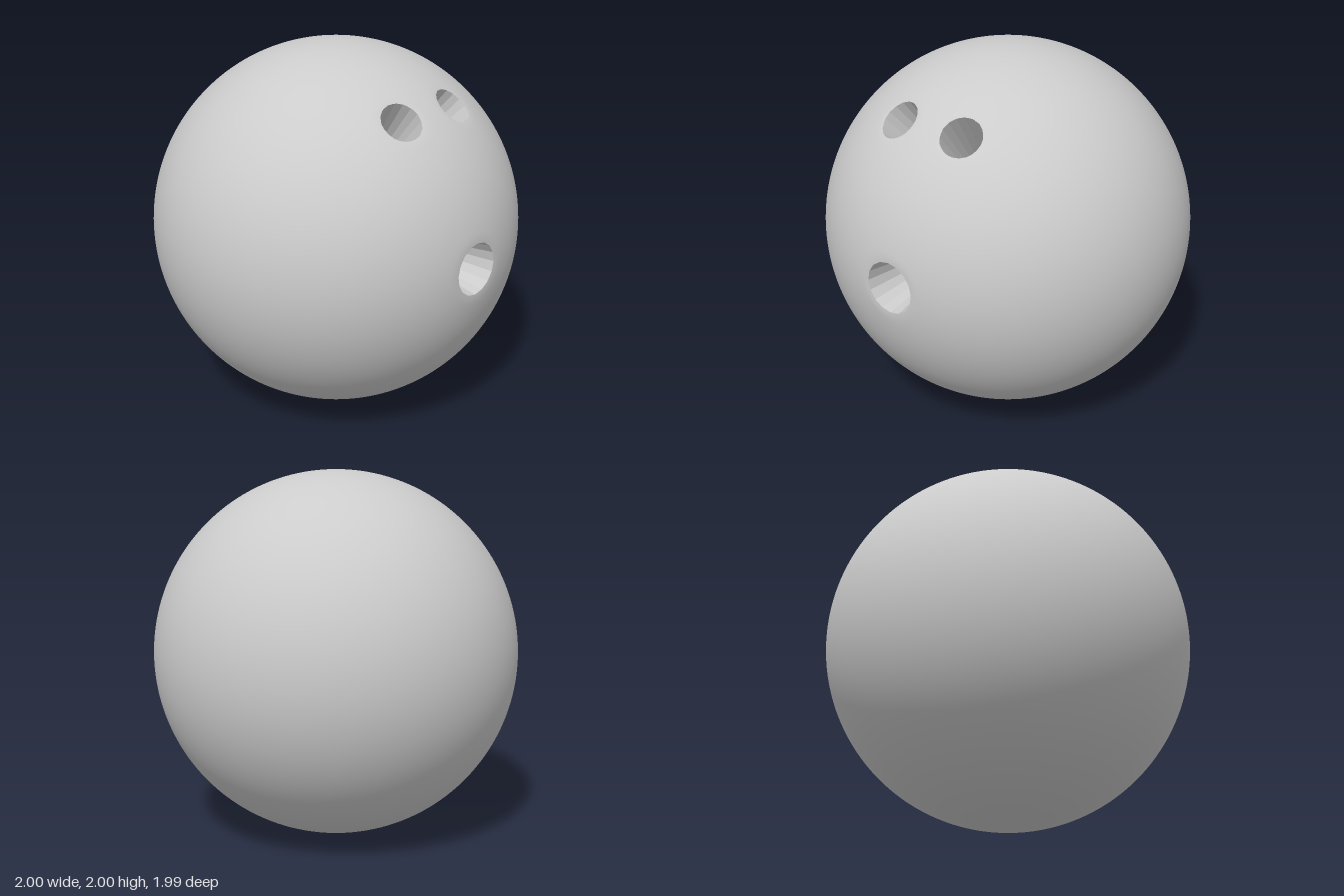
import * as THREE from 'three';
import { mergeVertices } from 'three/addons/utils/BufferGeometryUtils.js';

const SIDES = 16;
const UP = new THREE.Vector3(0, 1, 0);

// A hole is bored along a radial axis; local +y points outwards
function hole(name, x, y, z, radius, depth, floorRadius) {
  const axis = new THREE.Vector3(x, y, z).normalize();
  const turn = new THREE.Quaternion().setFromUnitVectors(UP, axis);
  const lip = Math.sqrt(1 - (radius * 1.18) ** 2); // flattened rim height
  return { name, axis, turn, back: turn.clone().invert(), radius, depth, floorRadius, lip };
}

const HOLES = [
  hole('thumbHole', 0, 0, 1, 0.14, 0.6, 0.04),
  hole('leftFingerHole', 0.195, 0.735, 0.64, 0.11, 0.6, 0.05),
  hole('rightFingerHole', -0.195, 0.735, 0.64, 0.11, 0.6, 0.05),
];

// Distance from the axis to the polygonal rim at a given angle
function rimDistance(radius, angle) {
  const step = (2 * Math.PI) / SIDES;
  const a = ((angle % step) + step) % step;
  return (radius * Math.cos(step / 2)) / Math.cos(a - step / 2);
}

// Sphere whose vertices are snapped to the rims, with the faces inside removed
function ballGeometry() {
  let geo = new THREE.SphereGeometry(1, 256, 128);
  geo.deleteAttribute('uv');
  geo.deleteAttribute('normal');
  geo = mergeVertices(geo, 1e-5);
  const pos = geo.attributes.position;
  const inside = new Array(pos.count).fill(false);
  const v = new THREE.Vector3();
  for (let i = 0; i < pos.count; i++) {
    for (const h of HOLES) {
      v.fromBufferAttribute(pos, i);
      if (v.dot(h.axis) < h.lip) continue;
      v.applyQuaternion(h.back);
      const r = Math.hypot(v.x, v.z);
      const rim = rimDistance(h.radius, Math.atan2(v.x, v.z));
      if (r < rim) {
        inside[i] = true;
        const s = rim / Math.max(r, 1e-6);
        v.x *= s;
        v.z *= s;
      }
      v.y = h.lip;
      v.applyQuaternion(h.turn);
      pos.setXYZ(i, v.x, v.y, v.z);
    }
  }
  const old = geo.index.array;
  const kept = [];
  for (let i = 0; i < old.length; i += 3) {
    const [a, b, c] = [old[i], old[i + 1], old[i + 2]];
    if (!(inside[a] && inside[b] && inside[c])) kept.push(a, b, c);
  }
  geo.setIndex(kept);
  geo.computeVertexNormals();
  return geo;
}

export function createModel() {
  const model = new THREE.Group();
  model.name = 'bowlingBall';

  // Outer shell
  const shell = new THREE.Mesh(ballGeometry(), new THREE.MeshStandardMaterial({ color: 0xcccccc }));
  shell.name = 'ball';
  model.add(shell);

  // Tapered, faceted linings of the three holes
  const lining = new THREE.MeshStandardMaterial({
    color: 0xcccccc, flatShading: true, side: THREE.DoubleSide,
  });
  for (const h of HOLES) {
    const profile = [
      new THREE.Vector2(0, h.lip - h.depth),
      new THREE.Vector2(h.floorRadius, h.lip - h.depth),
      new THREE.Vector2(h.radius, h.lip),
    ];
    const mesh = new THREE.Mesh(new THREE.LatheGeometry(profile, SIDES), lining);
    mesh.name = h.name;
    mesh.quaternion.copy(h.turn);
    model.add(mesh);
  }

  // Stand on the ground, centred over the flattened front
  model.position.set(0, 1, 0.007);
  return model;
}
